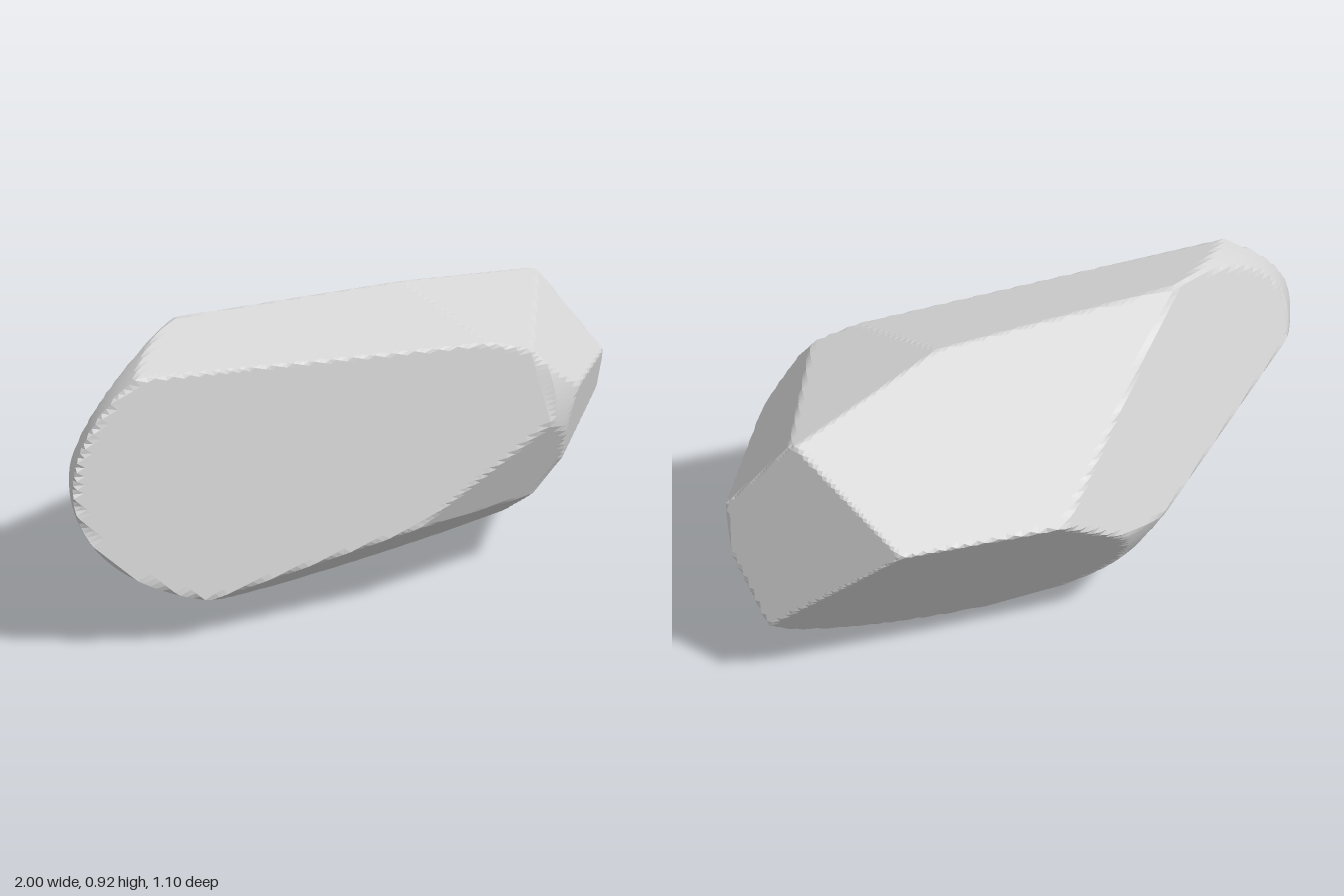
import * as THREE from 'three';

// Flat fracture planes of the boulder: outward normal, then offset
const CUTS = [
  [0.231, 0.859, -0.455, 0.81],   // sloping top, back half
  [-0.09, 0.957, 0.274, 0.852],   // sloping top, front half
  [0.155, 0.945, 0.283, 0.91],    // sloping top, left front corner
  [-0.46, 0.17, 0.87, 0.388],     // large front face
  [-0.19, 0.32, -0.93, 0.625],    // back face
  [-0.33, -0.58, -0.745, 0.227],  // slope under the back face
  [0.393, -0.564, -0.725, 0.21],  // undercut at the back
  [0.942, 0.267, -0.206, 0.967],  // end face
  [0.45, 0.62, 0.64, 0.955],      // upper front shoulder
  [0.45, -0.2, 0.85, 0.588],      // front cheek beside the end face
  [0.4, -0.61, 0.683, 0.336],     // lower front corner
  [-0.122, -0.418, 0.9, 0.237],   // slope under the front face
  [-0.1, -0.85, 0.525, -0.015],   // slope toward the base
].map(([x, y, z, d]) => ({ n: new THREE.Vector3(x, y, z), d }));

const CENTRE = new THREE.Vector3(0.15, 0.53, 0);

// Rounded body whose points are pulled back toward the centre to the nearest cut
function boulderGeometry() {
  const geo = new THREE.IcosahedronGeometry(1, 38);
  const pos = geo.attributes.position;
  const p = new THREE.Vector3();
  for (let i = 0; i < pos.count; i++) {
    p.fromBufferAttribute(pos, i);
    p.set(p.x * (p.x < 0 ? 1.23 : 1.14), p.y * 0.53, p.z * 0.57);
    let reach = 1;
    for (const { n, d } of CUTS) {
      const along = n.dot(p);
      if (along > 0) reach = Math.min(reach, (d - n.dot(CENTRE)) / along);
    }
    p.multiplyScalar(reach).add(CENTRE);
    pos.setXYZ(i, p.x, p.y, p.z);
  }
  geo.deleteAttribute('uv');
  geo.computeVertexNormals();
  return geo;
}

export function createModel() {
  const stone = new THREE.MeshStandardMaterial({ color: 0xd5d5d5, flatShading: true });
  stone.name = 'pale stone grey';
  const boulder = new THREE.Mesh(boulderGeometry(), stone);
  boulder.name = 'boulder';
  const group = new THREE.Group();
  group.name = 'rock';
  group.add(boulder);
  return group;
}
